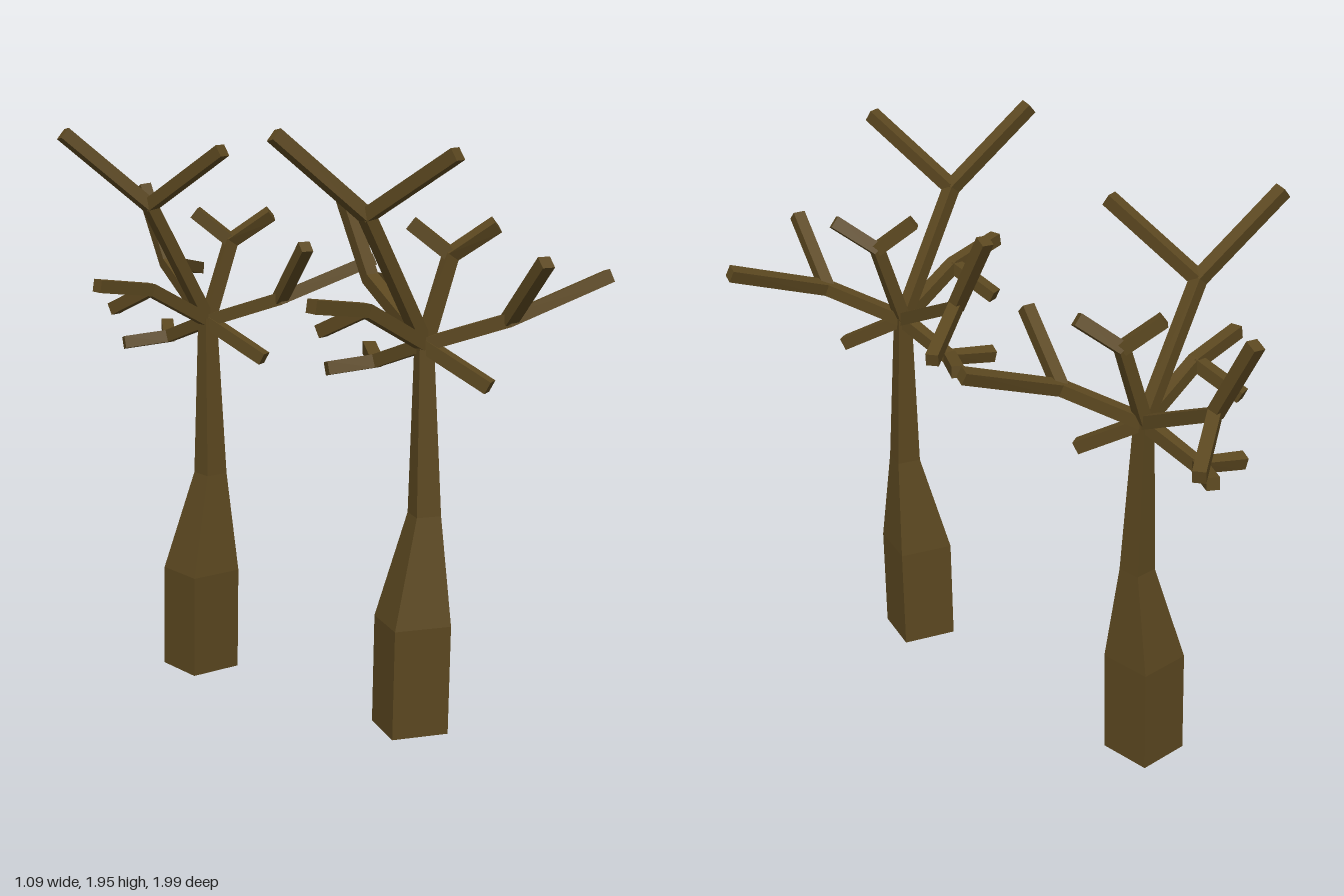
import * as THREE from 'three';

const bark = new THREE.MeshStandardMaterial({ color: 0x5c4820 });
bark.name = 'bark brown';

const V = (x, y, z) => new THREE.Vector3(x, y, z);

// Square ring of four corners, counter-clockwise about s x u
function ring(c, s, u, half) {
  return [[1, 1], [-1, 1], [-1, -1], [1, -1]].map(([a, b]) =>
    c.clone().addScaledVector(s, a * half).addScaledVector(u, b * half));
}

// Flat-shaded skin over a list of four-cornered rings, capped at both ends
function loft(rings) {
  const pos = [];
  const quad = (a, b, c, d) => [a, b, c, a, c, d].forEach(p => pos.push(p.x, p.y, p.z));
  for (let r = 0; r < rings.length - 1; r++) {
    for (let i = 0; i < 4; i++) {
      const j = (i + 1) % 4;
      quad(rings[r][i], rings[r][j], rings[r + 1][j], rings[r + 1][i]);
    }
  }
  quad(...[...rings[0]].reverse());
  quad(...rings[rings.length - 1]);
  const g = new THREE.BufferGeometry();
  g.setAttribute('position', new THREE.Float32BufferAttribute(pos, 3));
  g.computeVertexNormals();
  return g;
}

// Square-section limb along a bent path
function limb(points, half) {
  const dirs = points.slice(1).map((p, i) => p.clone().sub(points[i]).normalize());
  const side = V(0, 1, 0).cross(dirs[0]).normalize();
  return loft(points.map((p, i) => {
    const t = (dirs[i - 1] || dirs[0]).clone().add(dirs[i] || dirs[i - 1]).normalize();
    side.addScaledVector(t, -side.dot(t)).normalize();
    return ring(p, side, t.clone().cross(side), half);
  }));
}

// Branches relative to the crown centre: fork first, then the twig ends
const branches = {
  backRightBranch: [V(0.06, 0.16, -0.335), V(0.055, 0.42, -0.472), V(0.31, 0.10, -0.50)],
  frontRightBranch: [V(0.145, 0.09, 0.22), V(0.475, 0.205, 0.31), V(0.105, 0.29, 0.415)],
  tallLeftBranch: [V(-0.23, 0.41, 0), V(-0.50, 0.655, -0.095), V(-0.155, 0.61, 0.315)],
  lowLeftBranch: [V(-0.235, 0.13, 0.005), V(-0.455, 0.165, 0.025), V(-0.28, 0.05, -0.155)],
  uprightBranch: [V(0.09, 0.27, 0.015), V(0.19, 0.365, 0.11), V(0.005, 0.365, -0.075)],
  lowBackBranch: [V(-0.02, -0.08, -0.21), V(-0.17, -0.095, -0.265), V(0.065, -0.065, -0.345)],
  droopingFrontBranch: [V(0.1, -0.115, 0.19)],
};

// Trunk rings: centre offset and side length
const trunkRings = [
  [V(-0.046, -1.222, 0.006), 0.185],
  [V(-0.045, -0.87, 0.013), 0.185],
  [V(-0.007, -0.53, 0.019), 0.08],
  [V(0, 0.012, 0), 0.046],
];

function tree(name, crown, twist) {
  const group = new THREE.Group();
  group.name = name;
  group.position.copy(crown);
  const add = (geometry, part) => {
    const mesh = new THREE.Mesh(geometry, bark);
    mesh.name = part;
    group.add(mesh);
  };
  const c = Math.cos(twist), s = Math.sin(twist);
  add(loft(trunkRings.map(([p, w]) => ring(p, V(-s, 0, c), V(c, 0, s), w / 2))), 'trunk');

  for (const [part, [fork, end, secondEnd]] of Object.entries(branches)) {
    add(limb(end ? [V(0, 0, 0), fork, end] : [V(0, 0, 0), fork], 0.021), part);
    if (secondEnd) add(limb([fork, secondEnd], 0.0205), part + 'Twig');
  }
  return group;
}

export function createModel() {
  const model = new THREE.Group();
  model.name = 'bareTrees';
  model.add(tree('frontTree', V(0.057, 1.28, 0.555), 0.34));
  model.add(tree('backTree', V(-0.025, 1.223, -0.483), 0));
  return model;
}
